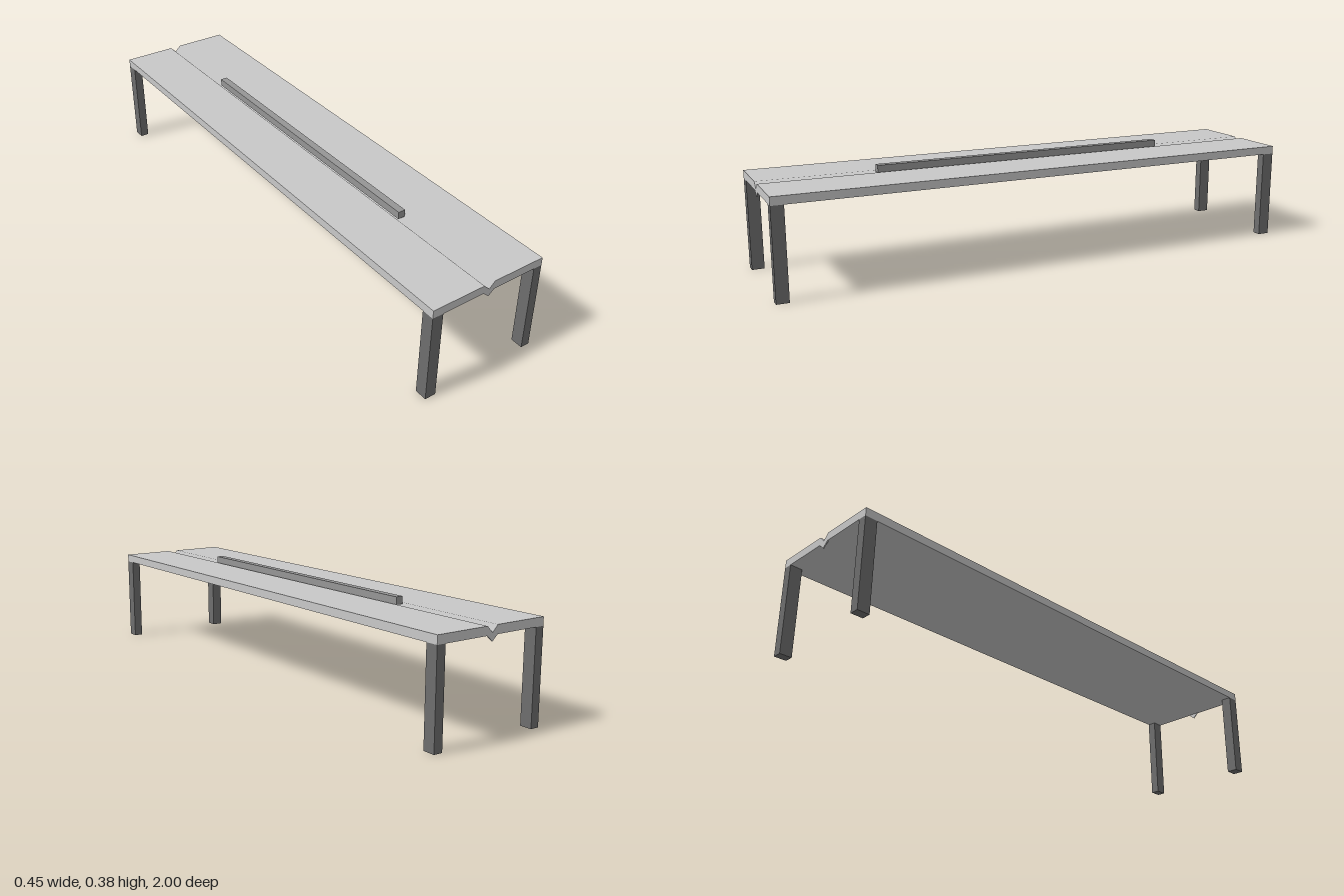
import * as THREE from 'three';

const mat = (name, color) => {
  const m = new THREE.MeshStandardMaterial({ color });
  m.name = name;
  return m;
};

// Closed outline in x/y, extruded along z from z0 over the given length
function prism(points, z0, length) {
  const shape = new THREE.Shape(points.map(([x, y]) => new THREE.Vector2(x, y)));
  const geo = new THREE.ExtrudeGeometry(shape, { depth: length, bevelEnabled: false });
  return geo.translate(0, 0, z0);
}

export function createModel() {
  const group = new THREE.Group();
  const lightGrey = mat('light grey top', 0xc8c8c8);
  const midGrey = mat('mid grey bar', 0x969696);
  const darkGrey = mat('dark grey legs', 0x6e6e6e);

  const add = (name, geo, material) => {
    const mesh = new THREE.Mesh(geo, material);
    mesh.name = name;
    group.add(mesh);
    return mesh;
  };

  const W = 0.225, bottom = 0.331, top = 0.361, notch = 0.022;

  // Table top with a V groove along its length
  const slab = prism([
    [-W, bottom], [W, bottom], [W, top], [notch, top],
    [0, top - notch], [-notch, top], [-W, top],
  ], -1, 2);
  // The groove is softly shaded with the top surface
  const n = slab.attributes.normal;
  for (let i = 0; i < n.count; i++) if (n.getY(i) > 0.5) n.setXYZ(i, 0, 1, 0);
  add('tableTop', slab, lightGrey);

  // Small V tips under the groove at both ends
  for (const [name, z] of [['frontGrooveTip', 0.996], ['backGrooveTip', -1]]) {
    add(name, prism([[-notch, bottom], [0, bottom - 0.02], [notch, bottom]], z, 0.004), lightGrey);
  }

  // Raised bar over the groove
  add('centreBar', new THREE.BoxGeometry(0.027, 0.027, 1.155), midGrey).position.set(0, 0.371, 0);

  // Corner legs; the front right one is a little wider
  for (const [name, sx, sz, w] of [
    ['frontLeftLeg', 1, 1, 0.033], ['frontRightLeg', -1, 1, 0.041],
    ['backLeftLeg', 1, -1, 0.033], ['backRightLeg', -1, -1, 0.033],
  ]) {
    const d = 0.045;
    add(name, new THREE.BoxGeometry(w, bottom, d), darkGrey)
      .position.set(sx * (W - w / 2), bottom / 2, sz * (1 - d / 2));
  }
  return group;
}
